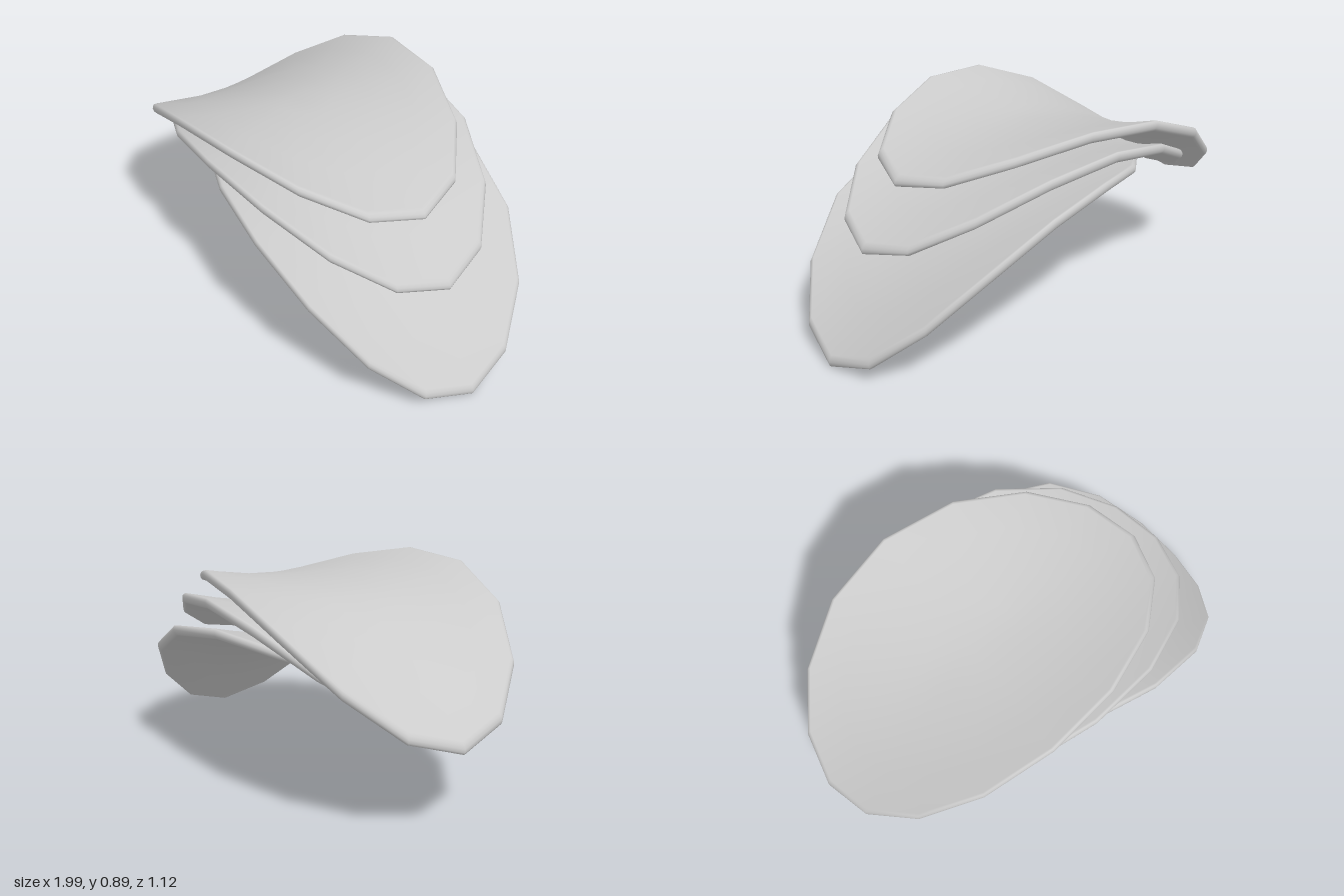
import * as THREE from 'three';
import { mergeVertices } from 'three/addons/utils/BufferGeometryUtils.js';

const HALF_LENGTH = 0.838, HALF_WIDTH = 0.56, HALF_THICK = 0.0225;
const ARCH = 0.25, FLARE = 0.1; // rise of the centre over the ends, of the sides over the centre

// Thin 16-sided oval disc with a rounded rim, bent into a saddle
function chipGeometry() {
  const rings = [0, 0.25, 0.5, 0.75];
  const profile = rings.map(r => new THREE.Vector2(r, -HALF_THICK));
  for (let i = 0; i <= 6; i++) {
    const t = -Math.PI / 2 + (Math.PI * i) / 6;
    profile.push(new THREE.Vector2(0.972 + 0.028 * Math.cos(t), HALF_THICK * Math.sin(t)));
  }
  rings.reverse().forEach(r => profile.push(new THREE.Vector2(r, HALF_THICK)));

  let geo = new THREE.LatheGeometry(profile, 16);
  const p = geo.attributes.position;
  for (let i = 0; i < p.count; i++) {
    const x = p.getX(i), z = p.getZ(i);
    p.setXYZ(i, x * HALF_LENGTH, p.getY(i) + ARCH * (1 - x * x) + FLARE * z * z, z * HALF_WIDTH);
  }
  // Weld the seam and poles so the shading is smooth all over
  geo.deleteAttribute('uv');
  geo.deleteAttribute('normal');
  geo = mergeVertices(geo, 1e-4);
  geo.computeVertexNormals();
  return geo;
}

export function createModel() {
  const group = new THREE.Group();
  group.name = 'chipStack';
  const geometry = chipGeometry();
  const material = new THREE.MeshStandardMaterial({ color: 0xcccccc });

  // Three chips fanned out, each with its own tilt: name, x, y, tilt
  const chips = [
    ['bottomChip', 0.196, 0.272, -0.311],
    ['middleChip', -0.025, 0.441, 0.012],
    ['topChip', -0.178, 0.527, 0.198],
  ];
  for (const [name, x, y, tilt] of chips) {
    const chip = new THREE.Mesh(geometry, material);
    chip.name = name;
    chip.position.set(x, y, 0);
    chip.rotation.z = tilt;
    group.add(chip);
  }
  return group;
}
